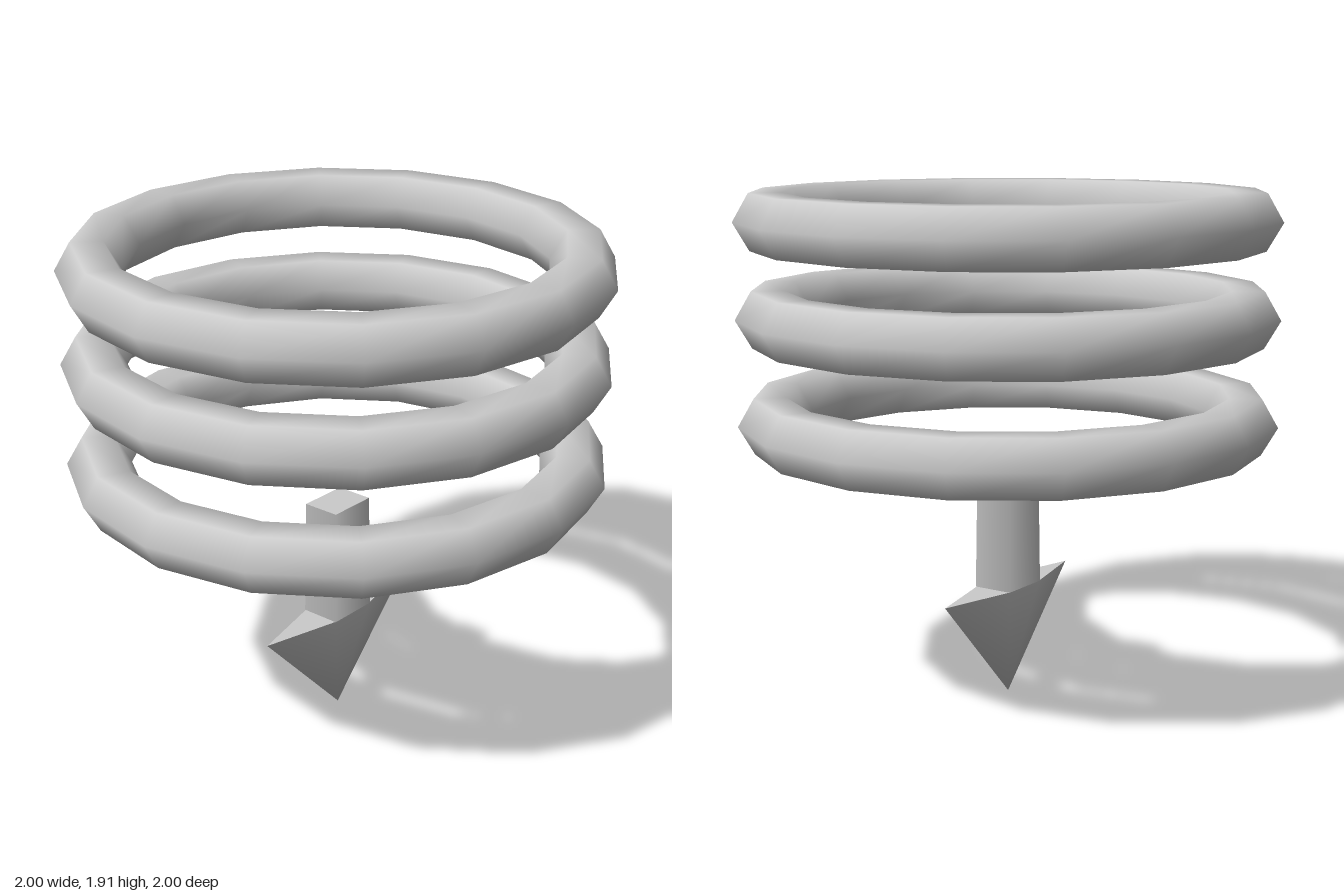
import * as THREE from 'three';

const material = new THREE.MeshStandardMaterial({ color: 0xcccccc });

function addMesh(group, name, geometry, y = 0) {
  const mesh = new THREE.Mesh(geometry, material);
  mesh.name = name;
  mesh.position.y = y;
  group.add(mesh);
  return mesh;
}

// Flattened six-sided spike: smooth sides down to a tip, closed by a flat top
function arrowHeadGeometry(height) {
  const outline = [[0.405, 0], [0.1, 0.075], [-0.1, 0.075], [-0.405, 0], [-0.1, -0.075], [0.1, -0.075]];
  const n = outline.length;
  const rim = outline.flatMap(([x, z]) => [x, height, z]);
  const positions = [...rim, ...rim, 0, 0, 0]; // side rim, cap rim, tip
  const index = [];
  for (let i = 0; i < n; i++) index.push(2 * n, i, (i + 1) % n);
  for (let i = 1; i < n - 1; i++) index.push(n, n + i + 1, n + i);
  const geometry = new THREE.BufferGeometry();
  geometry.setAttribute('position', new THREE.Float32BufferAttribute(positions, 3));
  geometry.setIndex(index);
  geometry.computeVertexNormals();
  return geometry;
}

export function createModel() {
  const model = new THREE.Group();
  model.name = 'ringMarker';

  // Three stacked low-poly rings
  const ring = new THREE.TorusGeometry(0.88, 0.119, 6, 16).rotateX(Math.PI / 2);
  [['lowerRing', 1.065], ['middleRing', 1.455], ['upperRing', 1.805]]
    .forEach(([name, y]) => addMesh(model, name, ring, y));

  // Downward arrow: four-sided shaft with softened sides, slightly wider at its foot
  const arrow = new THREE.Group();
  arrow.name = 'arrow';
  const headHeight = 0.425, shaftHeight = 0.45;
  const shaft = new THREE.CylinderGeometry(0.097 * Math.SQRT2, 0.103 * Math.SQRT2, shaftHeight, 4)
    .rotateY(Math.PI / 4)
    .scale(1, 1, 0.75);
  addMesh(arrow, 'arrowShaft', shaft, headHeight + shaftHeight / 2);
  addMesh(arrow, 'arrowHead', arrowHeadGeometry(headHeight));
  model.add(arrow);

  return model;
}
